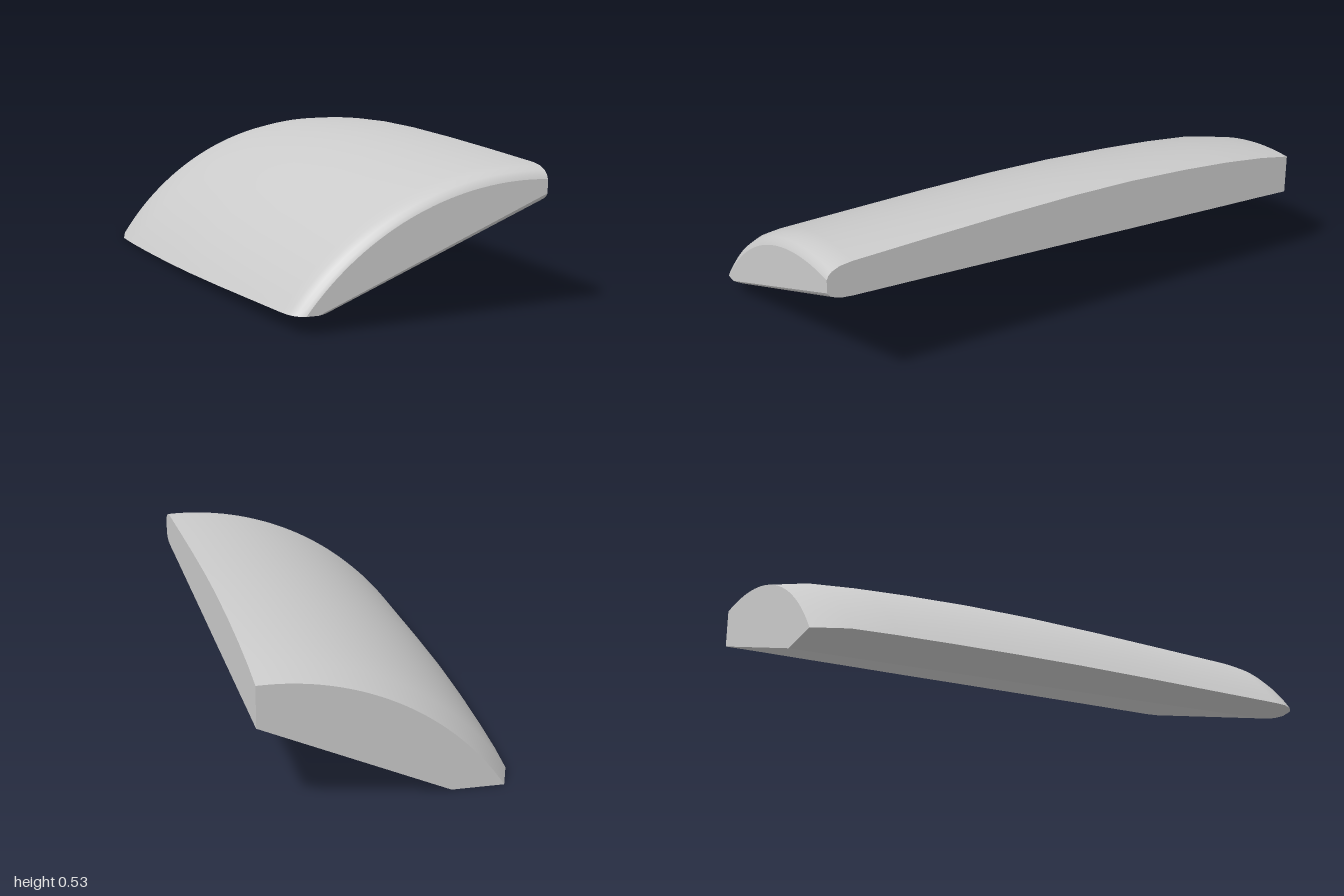
import * as THREE from 'three';

// Stations from back to front: z, left edge x, crown height at the right side,
// x where the flat foot meets the sloped underside, height of the underside at the right side
const STATIONS = [
  [-1.0, -0.38, 0.44, -0.19, 0.29],
  [-0.87, -0.43, 0.465, -0.20, 0.297],
  [-0.7, -0.448, 0.488, -0.213, 0.305],
  [-0.5, -0.463, 0.507, -0.228, 0.315],
  [-0.25, -0.478, 0.523, -0.248, 0.327],
  [0.0, -0.488, 0.529, -0.267, 0.34],
  [0.3, -0.492, 0.528, -0.29, 0.355],
  [0.6, -0.492, 0.523, -0.313, 0.37],
  [0.9, -0.492, 0.516, -0.337, 0.384],
  [0.95, -0.488, 0.51, -0.345, 0.389],
  [0.98, -0.475, 0.497, -0.365, 0.4],
  [0.993, -0.46, 0.485, -0.385, 0.41],
  [1.0, -0.445, 0.47, -0.4, 0.42],
];
const ARC_X = 0.41, ARC_Y = -0.578, STEPS = 32;

// Cross-section corners, counter-clockwise seen from the front
function section([z, xLeft, yTop, xFoot, yUnder]) {
  const yFoot = Math.min(0.0335 + 0.0335 * z, 0.065);
  const xRight = 0.475 - 0.015 * z;
  const skew = 0.043 * THREE.MathUtils.smoothstep(z, 0.3, 0.95);
  const at = (x, y) => new THREE.Vector3(x, y, z + skew * (x - xRight));
  const polar = (x, y) => [Math.atan2(y - ARC_Y, x - ARC_X), Math.hypot(x - ARC_X, y - ARC_Y)];
  const [a0, r0] = polar(xRight, yTop);
  const [a1, r1] = polar(xLeft, yFoot);
  const crown = [];
  for (let i = 0; i <= STEPS; i++) {
    const t = i / STEPS, a = a0 + (a1 - a0) * t, r = r0 + (r1 - r0) * t;
    crown.push(at(ARC_X + r * Math.cos(a), ARC_Y + r * Math.sin(a)));
  }
  const left = crown[STEPS], foot = at(xFoot, yFoot), under = at(xRight, yUnder);
  return { crown, foot: [left, foot], underside: [foot, under], side: [under, crown[0]], outline: [...crown, foot, under] };
}

// Skin a run of equally long cross-section lines
function skin(lines, smooth) {
  const n = lines[0].length, index = [];
  for (let i = 0; i < lines.length - 1; i++) {
    for (let j = 0; j < n - 1; j++) {
      const a = i * n + j, c = a + n;
      index.push(a, a + 1, c, a + 1, c + 1, c);
    }
  }
  let geometry = new THREE.BufferGeometry().setFromPoints(lines.flat());
  geometry.setIndex(index);
  if (!smooth) geometry = geometry.toNonIndexed();
  geometry.computeVertexNormals();
  return geometry;
}

// Close an end with a fan around its middle
function cap(outline, facesFront) {
  const n = outline.length, index = [];
  const middle = outline.reduce((sum, p) => sum.add(p), new THREE.Vector3()).divideScalar(n);
  for (let i = 0; i < n; i++) {
    const j = (i + 1) % n;
    index.push(n, facesFront ? i : j, facesFront ? j : i);
  }
  const geometry = new THREE.BufferGeometry().setFromPoints([...outline, middle]);
  geometry.setIndex(index);
  geometry.computeVertexNormals();
  return geometry;
}

export function createModel() {
  const group = new THREE.Group();
  group.name = 'curvedBlock';
  const material = new THREE.MeshStandardMaterial({ color: 0xcccccc });
  const add = (name, geometry) => {
    const mesh = new THREE.Mesh(geometry, material);
    mesh.name = name;
    group.add(mesh);
  };
  const sections = STATIONS.map(section);

  // Domed top, flat foot strip, sloped underside and upright side
  add('domedTop', skin(sections.map((s) => s.crown), true));
  for (const part of ['foot', 'underside', 'side']) add(part, skin(sections.map((s) => s[part]), false));

  // End faces
  add('backEnd', cap(sections[0].outline, false));
  add('frontEnd', cap(sections[sections.length - 1].outline, true));
  return group;
}
